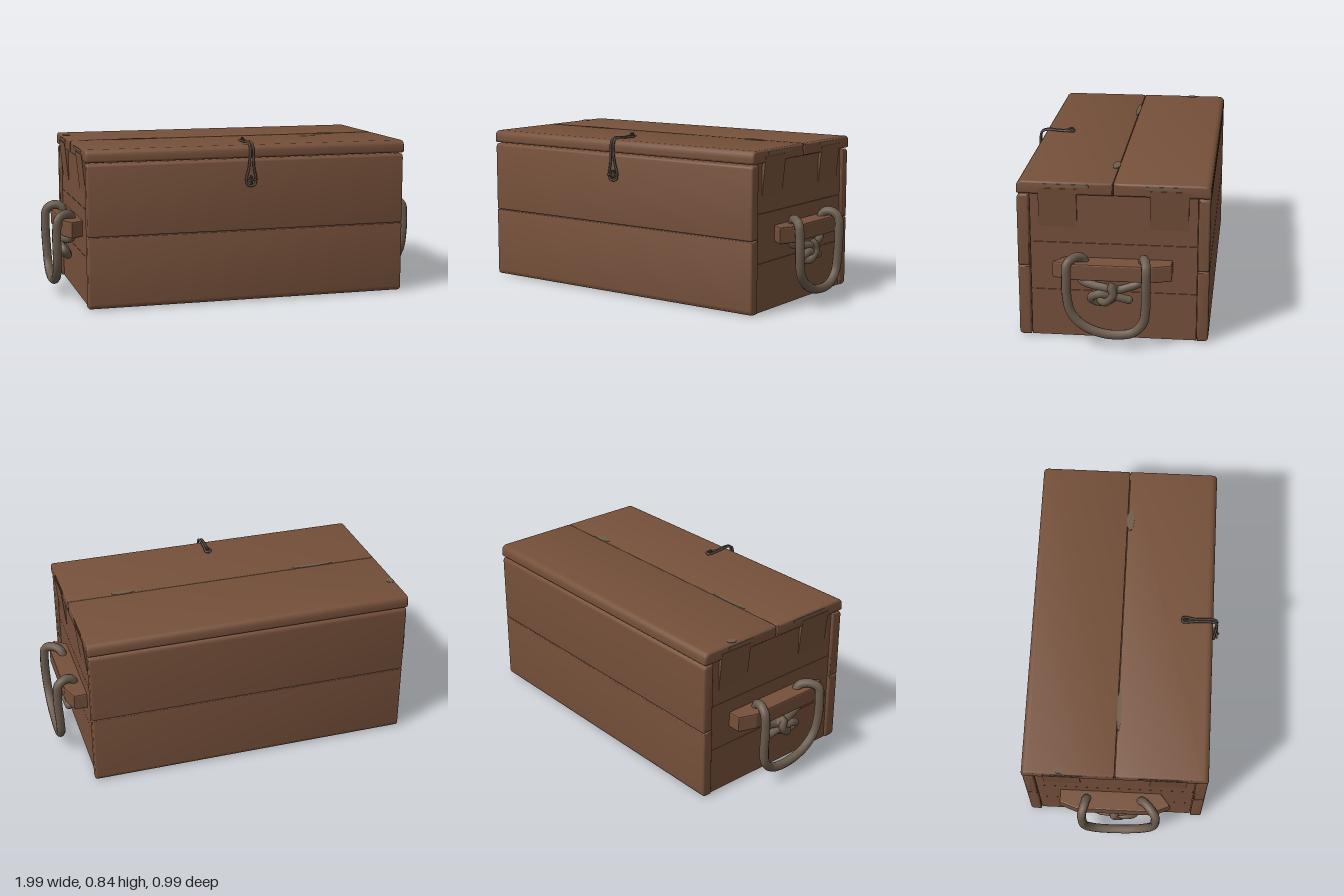
import * as THREE from 'three';
import { toCreasedNormals } from 'three/addons/utils/BufferGeometryUtils.js';

export function createModel() {
  const model = new THREE.Group();
  const mat = (name, color) => {
    const m = new THREE.MeshStandardMaterial({ color });
    m.name = name;
    return m;
  };
  const wood = mat('brown wood', 0x75503a);
  const rope = mat('grey brown rope', 0x6a5b4d);
  const iron = mat('dark iron wire', 0x584c42);
  const worn = mat('worn wood', 0x705c4a);

  const add = (name, geometry, material, parent = model) => {
    const mesh = new THREE.Mesh(geometry, material);
    mesh.name = name;
    parent.add(mesh);
    return mesh;
  };

  // Long board along x; radii round the corners (front-bottom, back-bottom, back-top, front-top)
  function board(name, half, z0, z1, y0, y1, radii, parent = model) {
    const [a, b, c, d] = radii;
    const s = new THREE.Shape();
    s.moveTo(-z1 + a, y0);
    s.lineTo(-z0 - b, y0);
    s.quadraticCurveTo(-z0, y0, -z0, y0 + b);
    s.lineTo(-z0, y1 - c);
    s.quadraticCurveTo(-z0, y1, -z0 - c, y1);
    s.lineTo(-z1 + d, y1);
    s.quadraticCurveTo(-z1, y1, -z1, y1 - d);
    s.lineTo(-z1, y0 + a);
    s.quadraticCurveTo(-z1, y0, -z1 + a, y0);
    const bevel = 0.01;
    const g = new THREE.ExtrudeGeometry(s, {
      depth: 2 * (half - bevel), curveSegments: 5, bevelEnabled: true,
      bevelThickness: bevel, bevelSize: bevel, bevelOffset: -bevel, bevelSegments: 3,
    });
    g.translate(0, 0, -(half - bevel));
    g.rotateY(Math.PI / 2);
    return add(name, toCreasedNormals(g, 0.7), wood, parent);
  }

  function box(name, x0, x1, y0, y1, z0, z1, material, parent = model) {
    const g = new THREE.BoxGeometry(Math.abs(x1 - x0), y1 - y0, z1 - z0);
    g.translate((x0 + x1) / 2, (y0 + y1) / 2, (z0 + z1) / 2);
    return add(name, g, material, parent);
  }

  function tube(name, pts, radius, material, parent, closed = false, segs = 64, sides = 10) {
    const curve = new THREE.CatmullRomCurve3(pts.map(p => new THREE.Vector3(...p)), closed);
    return add(name, new THREE.TubeGeometry(curve, segs, radius, sides, closed), material, parent);
  }

  // Front and back walls, two boards each
  board('frontLowerBoard', 0.85, 0.395, 0.455, 0.003, 0.373, [0.025, 0.005, 0.003, 0.006]);
  board('frontUpperBoard', 0.85, 0.395, 0.455, 0.375, 0.745, [0.006, 0.003, 0.005, 0.025]);
  board('backLowerBoard', 0.85, -0.49, -0.432, 0.003, 0.373, [0.005, 0.025, 0.006, 0.003]);
  board('backUpperBoard', 0.85, -0.49, -0.432, 0.375, 0.745, [0.003, 0.006, 0.025, 0.005]);

  // Lid boards and floor
  board('lidFrontBoard', 0.855, -0.018, 0.455, 0.75, 0.815, [0.012, 0.004, 0.006, 0.035]);
  board('lidBackBoard', 0.855, -0.492, -0.02, 0.75, 0.815, [0.004, 0.012, 0.035, 0.006]);
  box('floor', -0.83, 0.83, 0, 0.05, -0.43, 0.393, wood);

  // Short worn patches along the lid seam
  function patch(x, z, rx, rz) {
    const g = new THREE.CylinderGeometry(1, 1, 0.003, 10);
    g.scale(rx, 1, rz);
    g.translate(x, 0.816, z);
    add('lidWornPatch', g, worn);
  }
  patch(-0.5, -0.012, 0.12, 0.012);
  patch(0.56, -0.005, 0.06, 0.02);
  patch(-0.83, -0.3, 0.02, 0.025);

  for (const s of [1, -1]) {
    const end = new THREE.Group();
    end.name = s > 0 ? 'leftEnd' : 'rightEnd';
    model.add(end);

    // Three stacked end boards with hairline seams
    [[0.003, 0.248], [0.25, 0.498], [0.5, 0.748]].forEach(([y0, y1]) =>
      box('endBoard', s * 0.785, s * 0.837, y0, y1, -0.43, 0.392, wood, end));
    box('endBacking', s * 0.77, s * 0.785, 0.01, 0.74, -0.42, 0.385, wood, end);

    // Tapered tabs that reach up into the lid
    for (const [z0, z1] of [[0.16, 0.348], [-0.386, -0.197]]) {
      const tab = box('lidTab', s * 0.8, s * 0.858, 0.58, 0.782, z0, z1, wood, end);
      const p = tab.geometry.attributes.position;
      for (let i = 0; i < p.count; i++)
        if (Math.abs(p.getX(i)) > 0.83 && p.getY(i) < 0.7) p.setX(i, s * 0.838);
      tab.geometry.computeVertexNormals();
    }

    // Worn lid edges
    for (const [z0, z1] of [[0.1, 0.32], [-0.34, -0.18]])
      box('lidEdgeWear', s * 0.853, s * 0.857, 0.79, 0.804, z0, z1, worn, end);

    // Handle cleat with chamfered ends
    const c = new THREE.Shape();
    [[0.83, 0.22], [0.9, 0.275], [0.937, 0.19], [0.937, -0.22], [0.905, -0.31], [0.83, -0.31]]
      .forEach(([x, z], i) => (i ? c.lineTo(s * x, -z) : c.moveTo(s * x, -z)));
    const cg = new THREE.ExtrudeGeometry(c, {
      depth: 0.069, bevelEnabled: true, bevelThickness: 0.008,
      bevelSize: 0.008, bevelOffset: -0.008, bevelSegments: 2,
    });
    cg.rotateX(-Math.PI / 2);
    cg.translate(0, 0.348, 0);
    add('handleCleat', cg, wood, end);

    // Rope loop passing over the cleat and hanging in front of it
    const side = pts => pts.map(([x, y, z]) => [s * x, y, z]);
    tube('ropeHandle', side([
      [0.875, 0.39, 0.11], [0.885, 0.44, 0.13], [0.92, 0.452, 0.165], [0.958, 0.432, 0.195],
      [0.968, 0.36, 0.198], [0.967, 0.26, 0.195], [0.964, 0.18, 0.175], [0.962, 0.115, 0.115],
      [0.961, 0.08, 0.03], [0.961, 0.073, -0.06], [0.962, 0.09, -0.13], [0.964, 0.14, -0.175],
      [0.967, 0.21, -0.188], [0.972, 0.34, -0.19], [0.964, 0.425, -0.19], [0.925, 0.452, -0.18],
      [0.885, 0.44, -0.17], [0.875, 0.39, -0.165],
    ]), 0.0235, rope, end, false, 90);

    // Rope tails tied in a knot under the cleat
    tube('ropeKnot', side([
      [0.872, 0.36, 0.15], [0.882, 0.32, 0.13], [0.9, 0.305, 0.07], [0.915, 0.295, 0],
      [0.905, 0.26, -0.03], [0.885, 0.22, 0.0], [0.89, 0.215, 0.06], [0.91, 0.245, 0.085],
      [0.925, 0.27, 0.04], [0.91, 0.255, -0.03], [0.9, 0.235, -0.1],
    ]), 0.021, rope, end, false, 80);
    tube('ropeKnotCross', side([
      [0.872, 0.36, -0.165], [0.882, 0.32, -0.15], [0.892, 0.295, -0.09], [0.9, 0.285, -0.04],
      [0.925, 0.31, -0.015], [0.93, 0.27, -0.025], [0.92, 0.225, 0.015], [0.885, 0.23, 0.05],
    ]), 0.021, rope, end, false, 60);
    const tip = add('ropeTip', new THREE.SphereGeometry(0.021, 10, 6), rope, end);
    tip.position.set(s * 0.9, 0.235, -0.1);
  }

  // Bent wire latch over the front of the lid, with a staple at each end
  const latch = new THREE.Group();
  latch.name = 'latch';
  model.add(latch);
  const strand = [
    [0.012, 0.826, 0.295], [0.007, 0.824, 0.36], [0.007, 0.828, 0.44], [0.008, 0.815, 0.468],
    [0.009, 0.76, 0.476], [0.014, 0.7, 0.472], [0.026, 0.64, 0.468], [0.018, 0.612, 0.468],
  ];
  tube('latchWire', [
    ...strand, ...strand.slice().reverse().map(([x, y, z]) => [-x, y, z]),
  ], 0.0065, iron, latch, true, 110, 6);
  const topStaple = add('topStaple', new THREE.TorusGeometry(0.016, 0.005, 6, 6), iron, latch);
  topStaple.rotation.y = Math.PI / 2;
  topStaple.position.set(0, 0.826, 0.307);
  const frontStaple = add('frontStaple', new THREE.TorusGeometry(0.02, 0.005, 6, 6), iron, latch);
  frontStaple.rotation.y = Math.PI / 2;
  frontStaple.position.set(0, 0.64, 0.472);
  box('frontPin', -0.025, 0.025, 0.634, 0.646, 0.478, 0.488, iron, latch);

  return model;
}
